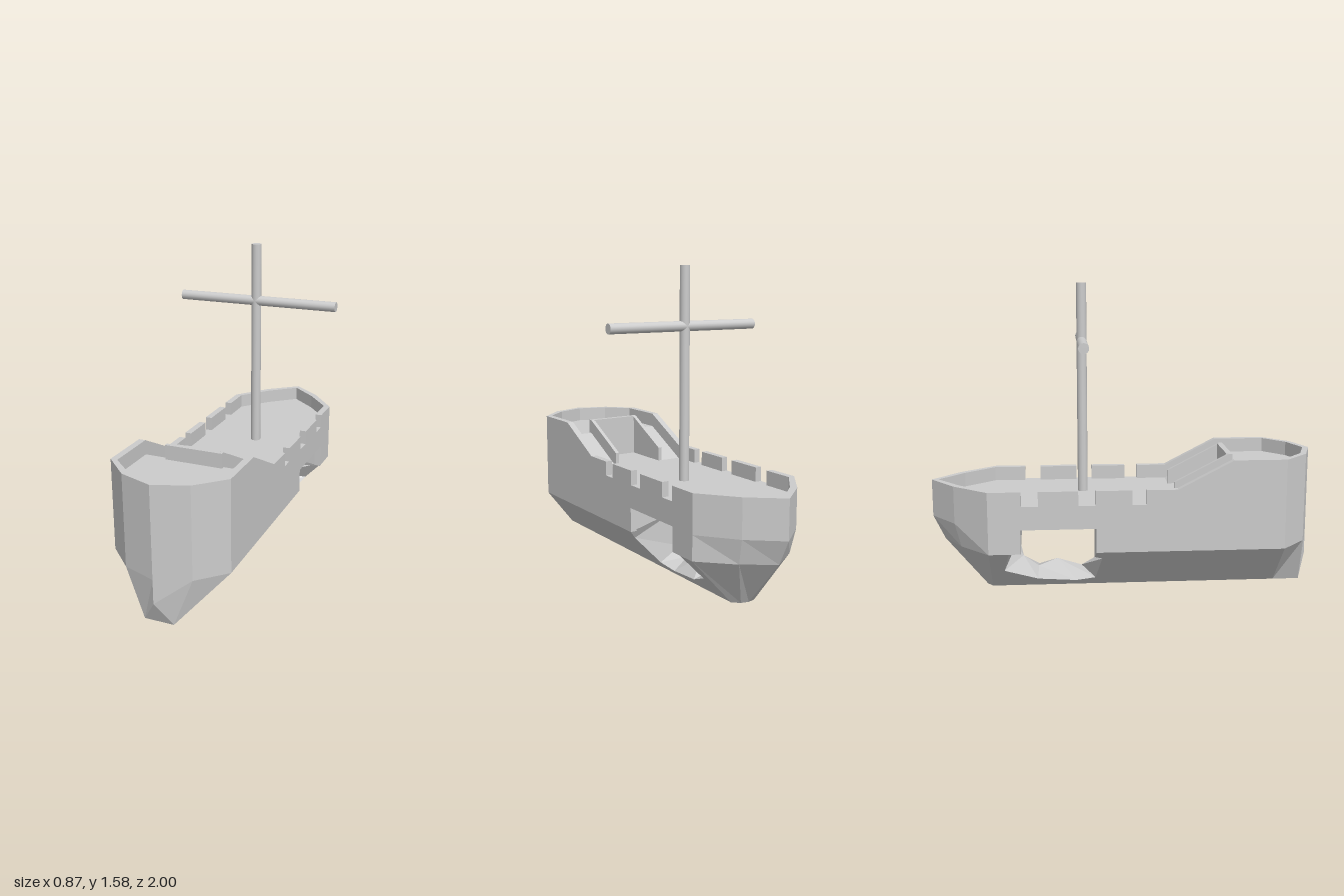
import * as THREE from 'three';

const flat = new THREE.MeshStandardMaterial({ color: 0xcccccc, flatShading: true, side: THREE.DoubleSide });
const smooth = new THREE.MeshStandardMaterial({ color: 0xcccccc });

const HALF = 0.3025, KEEL = 0.075, CHINE = 0.245, CEIL = 0.37, DECK = 0.49, FORE = 0.635, RAIL = 0.075, THICK = 0.035;
const Z_STERN = -0.69, Z_BOW = 0.81;
const halfWidth = y => (y < CHINE ? KEEL + (HALF - KEEL) * y / CHINE : HALF);

const shapeOf = pts => new THREE.Shape(pts.map(([a, b]) => new THREE.Vector2(a, b)));
const mirrorPlan = half => [...half, ...half.slice(0, -1).reverse().map(([x, ...r]) => [-x, ...r])];

export function createModel() {
  const model = new THREE.Group();
  const hull = new THREE.Group();
  hull.name = 'hull';
  hull.position.x = -0.0225;
  model.add(hull);

  const add = (name, geometry, parent = hull, material = flat) => {
    const mesh = new THREE.Mesh(geometry, material);
    mesh.name = name;
    parent.add(mesh);
    return mesh;
  };

  // Side profile given as (z, y), extruded from x0 to x1
  const profile = (name, pts, x0, x1) => {
    const g = new THREE.ExtrudeGeometry(shapeOf(pts), { depth: x1 - x0, bevelEnabled: false });
    add(name, g.rotateY(-Math.PI / 2).translate(x1, 0, 0));
  };

  // Plan outline given as (x, z), extruded from y0 to y1
  const plan = (name, pts, y0, y1) => {
    const g = new THREE.ExtrudeGeometry(shapeOf(pts.map(([x, z]) => [x, -z])), { depth: y1 - y0, bevelEnabled: false });
    add(name, g.rotateX(-Math.PI / 2).translate(0, y0, 0));
  };

  // Skin between rows of [x, y, z] points
  const skin = (name, rows, closed = false) => {
    const out = [];
    for (let r = 0; r < rows.length - 1; r++) {
      const A = rows[r], B = rows[r + 1], n = A.length;
      for (let i = 0; i < (closed ? n : n - 1); i++) {
        const j = (i + 1) % n;
        out.push(...A[i], ...B[i], ...B[j], ...A[i], ...B[j], ...A[j]);
      }
    }
    const g = new THREE.BufferGeometry();
    g.setAttribute('position', new THREE.Float32BufferAttribute(out, 3));
    g.computeVertexNormals();
    add(name, g);
  };

  // Opening through the hull, as (z, y): at the skin and at the middle
  const opening = [[-0.15, CEIL], [-0.53, CEIL], [-0.53, CHINE], [-0.59, CHINE], [-0.62, 0.12],
    [-0.45, 0.05], [-0.25, 0.03], [-0.15, 0.05], [-0.12, 0.2], [-0.15, CHINE]];
  const middle = [[-0.24, CEIL], [-0.53, CEIL], [-0.55, 0.27], [-0.57, 0.2], [-0.53, 0.14],
    [-0.45, 0.08], [-0.35, 0.12], [-0.22, 0.08], [-0.15, 0.12], [-0.15, 0.33]];
  skin('hullOpening', [
    opening.map(([z, y]) => [halfWidth(y), y, z]),
    middle.map(([z, y]) => [0, y, z]),
    opening.map(([z, y]) => [-halfWidth(y), y, z]),
  ], true);

  // Upper sides with the crenellated rail, and the rising rail at the bow
  const top = DECK + RAIL;
  const wall = [[Z_BOW, CHINE], [Z_BOW, FORE + RAIL], [0.54, FORE + RAIL], [0.26, top]];
  for (const [a, b] of [[0.10, 0.03], [-0.155, -0.24], [-0.44, -0.525]])
    wall.push([a, top], [a, DECK], [b, DECK], [b, top]);
  wall.push([Z_STERN, top], [Z_STERN, CHINE], [-0.53, CHINE], [-0.53, CEIL], [-0.15, CEIL], [-0.15, CHINE]);
  profile('leftSide', wall, HALF - THICK, HALF);
  profile('rightSide', wall, -HALF, -HALF + THICK);

  // Sloping lower sides
  const lower = [[Z_BOW, 0], [Z_BOW, CHINE], ...opening.slice(3).reverse(), [Z_STERN, CHINE], [Z_STERN, 0]];
  for (const s of [1, -1]) {
    const g = new THREE.ShapeGeometry(shapeOf(lower)).rotateY(-Math.PI / 2);
    const p = g.attributes.position;
    for (let i = 0; i < p.count; i++) p.setX(i, s * halfWidth(p.getY(i)));
    g.computeVertexNormals();
    add(s > 0 ? 'leftBilge' : 'rightBilge', g);
  }

  // Decks: side strips ramp up to the foredeck, the centre keeps a stairwell
  const inner = HALF - THICK, well = 0.13;
  const ramp = [[Z_STERN, CEIL], [Z_STERN, DECK], [0.26, DECK], [0.54, FORE], [Z_BOW, FORE], [Z_BOW, CEIL]];
  const step = [[Z_STERN, CEIL], [Z_STERN, DECK], [0.54, DECK], [0.54, FORE], [Z_BOW, FORE], [Z_BOW, CEIL]];
  profile('leftDeck', ramp, well, inner);
  profile('centreDeck', step, -well, well);
  profile('rightDeck', ramp, -inner, -well);

  // Low wall around the stairwell
  const coaming = [[0.26, DECK], [0.26, top], [0.54, FORE + RAIL], [0.56, FORE + RAIL], [0.56, DECK]];
  profile('leftStairWall', coaming, well, well + 0.02);
  profile('rightStairWall', coaming, -well - 0.02, -well);
  profile('frontStairWall', [[0.53, DECK], [0.53, FORE + RAIL], [0.56, FORE + RAIL], [0.56, DECK]], -well, well);

  // Bow and stern blocks with their rails
  const bow = mirrorPlan([[HALF, Z_BOW], [0.17, 0.94], [0, 1]]);
  const bowInner = mirrorPlan([[inner, Z_BOW], [0.15, 0.915], [0, 0.968]]);
  const stern = mirrorPlan([[HALF, Z_STERN], [0.16, -0.87], [0, -1]]);
  const sternInner = mirrorPlan([[inner, Z_STERN], [0.14, -0.842], [0, -0.965]]);
  plan('bow', bow, CHINE, FORE);
  plan('bowRail', [...bow, ...bowInner.reverse()], FORE, FORE + RAIL);
  plan('stern', stern, CEIL, DECK);
  plan('sternRail', [...stern, ...sternInner.reverse()], DECK, top);

  // Tapering undersides of the bow and stern
  skin('bowUnderside', [
    bow.map(([x, z]) => [x, CHINE, z]),
    mirrorPlan([[KEEL, 0, Z_BOW], [KEEL, 0, 0.95], [0, 0.12, 1]]),
    mirrorPlan([[KEEL, 0, Z_BOW], [KEEL, 0, 0.95], [0, 0, 0.95]]),
  ]);
  const sternFoot = mirrorPlan([[KEEL, Z_STERN], [0.04, -0.72], [0, -0.73]]);
  skin('sternUnderside', [
    stern.map(([x, z]) => [x, CEIL, z]),
    mirrorPlan([[HALF, CHINE, Z_STERN], [0.15, CHINE, -0.84], [0, CHINE, -0.94]]),
    sternFoot.map(([x, z]) => [x, 0, z]),
  ]);

  // Flat bottom
  const keel = [[-KEEL, 0.95], [KEEL, 0.95], ...sternFoot];
  add('keel', new THREE.ShapeGeometry(shapeOf(keel)).rotateX(Math.PI / 2));

  // Mast and yard
  const mast = add('mast', new THREE.CylinderGeometry(0.026, 0.026, 1.58 - DECK, 16), model, smooth);
  mast.position.set(-0.005, (1.58 + DECK) / 2, -0.21);
  const yard = add('yard', new THREE.CylinderGeometry(0.026, 0.026, 0.87, 16).rotateZ(Math.PI / 2), model, smooth);
  yard.position.set(0, 1.28, -0.21);

  return model;
}
